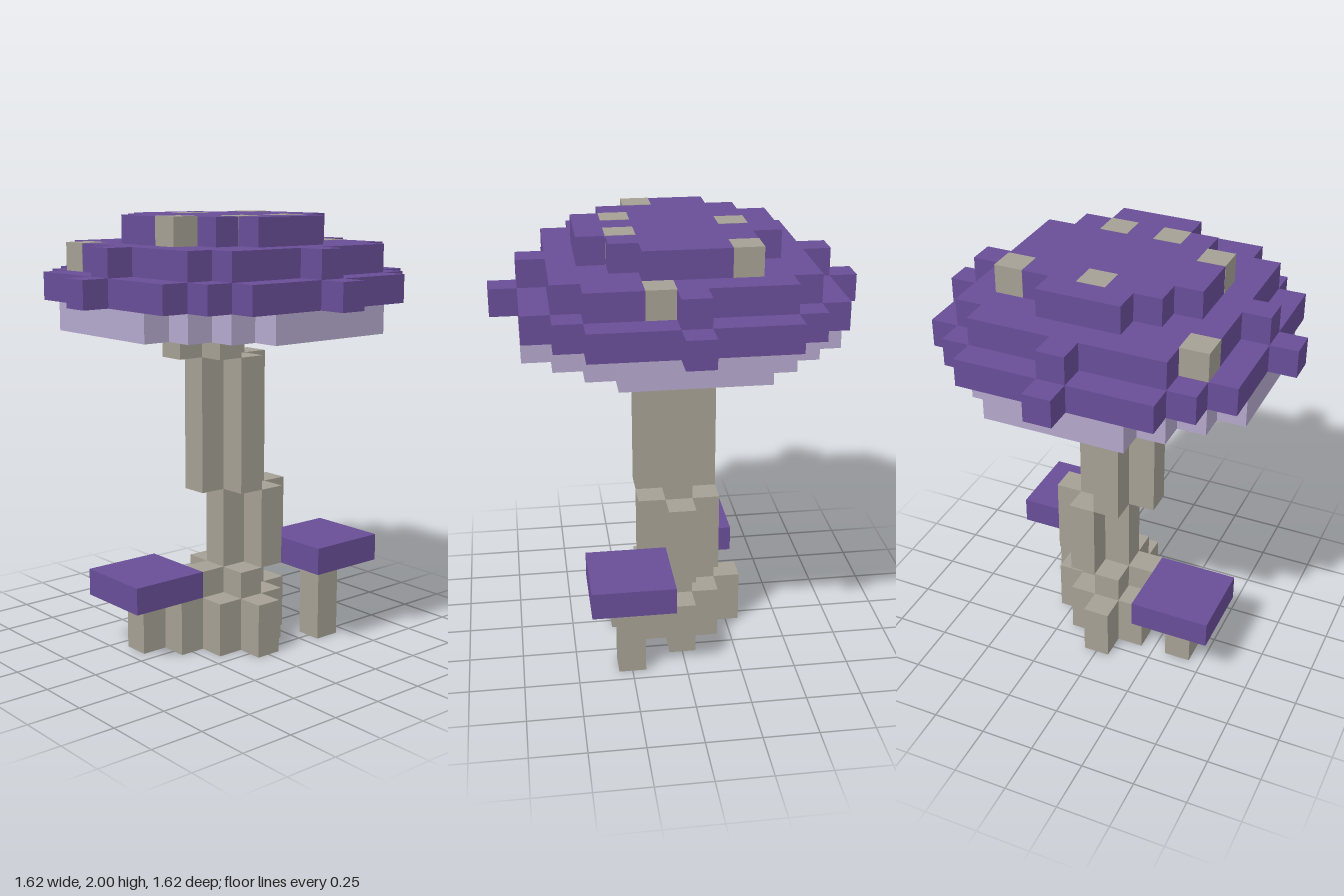
import * as THREE from 'three';

const U = 0.125; // one block

const purple = new THREE.MeshStandardMaterial({ color: 0x694e98 });
purple.name = 'purple cap';
const tan = new THREE.MeshStandardMaterial({ color: 0xa5a094 });
tan.name = 'tan stem';
const lilac = new THREE.MeshStandardMaterial({ color: 0xb4a8cc });
lilac.name = 'lilac gills';

// Stepped symmetric disc; widths[i] is the half width in blocks of the rows i blocks from the centre
function disc(name, widths, y, height, material, cx = 0) {
  const n = widths.length - 1;
  const right = [];
  for (let r = -n; r <= n; r++) {
    const w = widths[Math.abs(r)] + 0.5;
    right.push([w, r - 0.5], [w, r + 0.5]);
  }
  const left = right.map(([x, z]) => [-x, z]).reverse();
  const outline = [...right, ...left]
    .filter(([x, z], i, all) => i === 0 || x !== all[i - 1][0] || z !== all[i - 1][1])
    .map(([x, z]) => new THREE.Vector2(x * U, z * U));
  const geometry = new THREE.ExtrudeGeometry(new THREE.Shape(outline), { depth: height * U, bevelEnabled: false });
  geometry.rotateX(-Math.PI / 2);
  const mesh = new THREE.Mesh(geometry, material);
  mesh.name = name;
  mesh.position.set(cx * U, y * U, 0);
  return mesh;
}

// Square block centred on a cell, standing on layer y
function block(name, x, y, z, width, height, material, grow = 0) {
  const w = width * U + grow;
  const mesh = new THREE.Mesh(new THREE.BoxGeometry(w, height * U + grow, w), material);
  mesh.name = name;
  mesh.position.set(x * U, (y + height / 2) * U, z * U);
  return mesh;
}

export function createModel() {
  const model = new THREE.Group();
  model.name = 'mushroom';

  // Crooked stem: a wide foot, then cross-shaped sections shifted sideways
  const stem = new THREE.Group();
  stem.name = 'stem';
  const cross = [1, 0];
  stem.add(
    disc('stemFoot', [2, 1, 0], 0, 2, tan),
    disc('stemCollar', cross, 2, 1, tan),
    disc('stemLower', cross, 3, 3, tan, 1),
    disc('stemUpper', cross, 6, 5, tan),
    disc('stemTop', cross, 11, 1, tan, -1),
  );
  model.add(stem);

  // Large cap: gills below, three stepped layers above
  const cap = new THREE.Group();
  cap.name = 'cap';
  cap.add(
    disc('gills', [5, 5, 5, 4, 3, 2], 12, 1, lilac),
    disc('capRim', [6, 5, 5, 5, 4, 3, 0], 13, 1, purple),
    disc('capMiddle', [5, 4, 4, 4, 3, 0], 14, 1, purple),
    disc('capCrown', [3, 3, 2, 1], 15, 1, purple),
  );
  model.add(cap);

  // Spots, a hair larger than the cells they fill
  const spots = [
    [0, 15, -2], [3, 15, -2], [-3, 15, 1], [-1, 15, 2], [1, 15, 2],
    [-4, 14, -3], [4, 14, 1],
  ];
  for (const [x, y, z] of spots) cap.add(block('spot', x, y, z, 1, 1, tan, 0.003));

  // Two small mushrooms beside the foot
  for (const [side, x, z, height] of [['left', 3, 2, 3], ['right', -3, -1, 2]]) {
    const small = new THREE.Group();
    small.name = side + 'SmallMushroom';
    small.add(
      block('smallStem', x, 0, z, 1, height, tan),
      block('smallCap', x, height, z, 3, 1, purple),
    );
    model.add(small);
  }

  return model;
}
